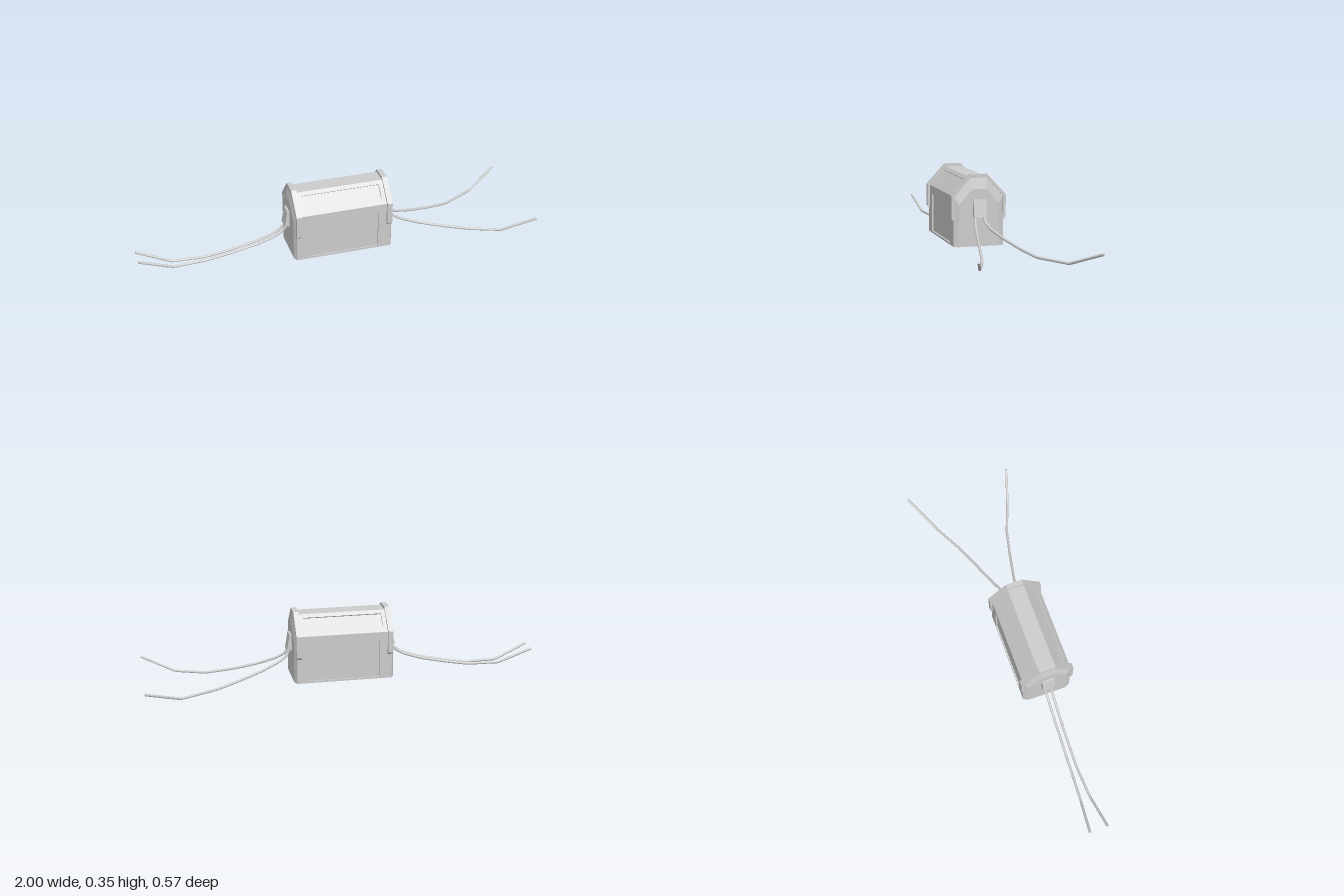
import * as THREE from 'three';

const CX = 0.004, CZ = 0.056; // centre of the housing
const material = new THREE.MeshStandardMaterial({ color: 0xcccccc, side: THREE.DoubleSide });

// Complete a half profile of [z, y] points with its mirror image
const mirrored = half => [...half, ...half.slice().reverse().map(([z, y]) => [-z, y])];

function addMesh(parent, name, geometry) {
  const mesh = new THREE.Mesh(geometry, material);
  mesh.name = name;
  parent.add(mesh);
  return mesh;
}

// Chamfered housing with four recessed panels
function housingGeometry() {
  const outer = mirrored([[0.124, 0], [0.124, 0.243], [0.042, 0.335]]);
  const inner = mirrored([[0.1, 0], [0.1, 0.205], [0.034, 0.277]]);
  const outerX = 0.24, innerX = 0.252, depth = 0.008;
  const positions = [];
  const tri = (...pts) => pts.forEach(p => positions.push(p.x, p.y, p.z));
  const quad = (a, b, c, d) => { tri(a, b, c); tri(a, c, d); };
  const at = (x, [z, y]) => new THREE.Vector3(x, y, z);
  // panel half width and its extent across each side of the profile
  const panels = {
    0: [0.176, 0.04, 0.82], 1: [0.197, 0.24, 0.83],
    3: [0.197, 0.17, 0.76], 4: [0.176, 0.18, 0.96],
  };

  for (let i = 0; i < 6; i++) {
    const j = (i + 1) % 6;
    const rim = [at(-outerX, outer[i]), at(outerX, outer[i]), at(outerX, outer[j]), at(-outerX, outer[j])];
    if (panels[i]) {
      const [w, v0, v1] = panels[i];
      const point = (x, v) => at(x, outer[i]).lerp(at(x, outer[j]), v);
      const hole = [point(-w, v0), point(w, v0), point(w, v1), point(-w, v1)];
      const normal = rim[1].clone().sub(rim[0]).cross(rim[3].clone().sub(rim[0])).normalize();
      const floor = hole.map(p => p.clone().addScaledVector(normal, -depth));
      for (let k = 0; k < 4; k++) {
        const n = (k + 1) % 4;
        quad(rim[k], rim[n], hole[n], hole[k]);
        quad(hole[k], hole[n], floor[n], floor[k]);
      }
      quad(...floor);
    } else quad(...rim);

    // bevels around both ends
    quad(at(outerX, outer[i]), at(innerX, inner[i]), at(innerX, inner[j]), at(outerX, outer[j]));
    quad(at(-outerX, outer[j]), at(-innerX, inner[j]), at(-innerX, inner[i]), at(-outerX, outer[i]));
  }
  // flat end faces
  for (let k = 1; k < 5; k++) {
    tri(at(innerX, inner[0]), at(innerX, inner[k + 1]), at(innerX, inner[k]));
    tri(at(-innerX, inner[0]), at(-innerX, inner[k]), at(-innerX, inner[k + 1]));
  }
  const geometry = new THREE.BufferGeometry();
  geometry.setAttribute('position', new THREE.Float32BufferAttribute(positions, 3));
  geometry.computeVertexNormals();
  return geometry;
}

const extrude = (points, depth) => new THREE.ExtrudeGeometry(
  new THREE.Shape(points.map(p => new THREE.Vector2(...p))), { depth, bevelEnabled: false }
).translate(0, 0, -depth / 2);

// Arched strap that wraps over the housing
function strapGeometry() {
  const outside = mirrored([[0.123, 0.125], [0.136, 0.137], [0.136, 0.247], [0.041, 0.348]]);
  const inside = mirrored([[0.121, 0.125], [0.121, 0.24], [0.04, 0.331]]);
  return extrude([...outside, ...inside.reverse()], 0.026).rotateY(-Math.PI / 2);
}

// Cable through [x, y, z] points, closed at both ends
function addWire(parent, name, points) {
  const curve = new THREE.CatmullRomCurve3(points.map(p => new THREE.Vector3(...p)), false, 'catmullrom', 0.2);
  const radius = 0.0065;
  const wire = new THREE.Group();
  wire.name = name;
  parent.add(wire);
  addMesh(wire, 'cable', new THREE.TubeGeometry(curve, 90, radius, 10));
  for (const t of [0, 1]) {
    const cap = addMesh(wire, 'cableEnd', new THREE.CircleGeometry(radius, 10));
    const end = curve.getPoint(t);
    cap.position.copy(end);
    cap.lookAt(end.clone().addScaledVector(curve.getTangent(t), t ? 1 : -1));
  }
}

export function createModel() {
  const model = new THREE.Group();
  model.name = 'wiredHousing';

  const body = new THREE.Group();
  body.name = 'body';
  body.position.set(CX, 0, CZ);
  model.add(body);
  addMesh(body, 'housing', housingGeometry());

  for (const side of [-1, 1]) {
    const label = side > 0 ? 'left' : 'right';
    addMesh(body, label + 'Strap', strapGeometry()).position.x = side * 0.231;
    // wedge-shaped cable outlet
    const outlet = extrude([[0.245, 0.145], [0.277, 0.145], [0.263, 0.228], [0.245, 0.228]], 0.063);
    if (side < 0) outlet.rotateY(Math.PI);
    addMesh(body, label + 'Outlet', outlet);
  }

  // spread pair on the left
  addWire(model, 'leftFrontWire', [
    [0.268, 0.155, 0.079], [0.272, 0.135, 0.08], [0.29, 0.112, 0.084], [0.33, 0.09, 0.092],
    [0.42, 0.06, 0.11], [0.54, 0.032, 0.135], [0.67, 0.01, 0.165], [0.69, 0.0085, 0.172],
    [0.81, 0.0085, 0.217], [0.835, 0.012, 0.226], [0.995, 0.078, 0.278]]);
  addWire(model, 'leftBackWire', [
    [0.268, 0.155, 0.036], [0.272, 0.135, 0.035], [0.29, 0.112, 0.029], [0.33, 0.09, 0.016],
    [0.42, 0.06, -0.017], [0.54, 0.032, -0.058], [0.64, 0.014, -0.095], [0.665, 0.012, -0.105],
    [0.81, 0.012, -0.18], [0.83, 0.014, -0.19], [0.995, 0.08, -0.28]]);
  // nearly parallel pair on the right
  const rightWire = (name, z) => addWire(model, name, [
    [-0.26, 0.155], [-0.264, 0.135], [-0.282, 0.112], [-0.322, 0.088], [-0.41, 0.058],
    [-0.53, 0.032], [-0.65, 0.012], [-0.68, 0.0095], [-0.81, 0.0095], [-0.835, 0.012], [-0.998, 0.08],
  ].map(([x, y], i) => [x, y, z[i]]));
  rightWire('rightFrontWire', [0.07, 0.07, 0.069, 0.068, 0.066, 0.063, 0.062, 0.063, 0.07, 0.073, 0.091]);
  rightWire('rightBackWire', [0.041, 0.041, 0.04, 0.039, 0.037, 0.034, 0.03, 0.029, 0.022, 0.02, 0.0]);

  return model;
}
